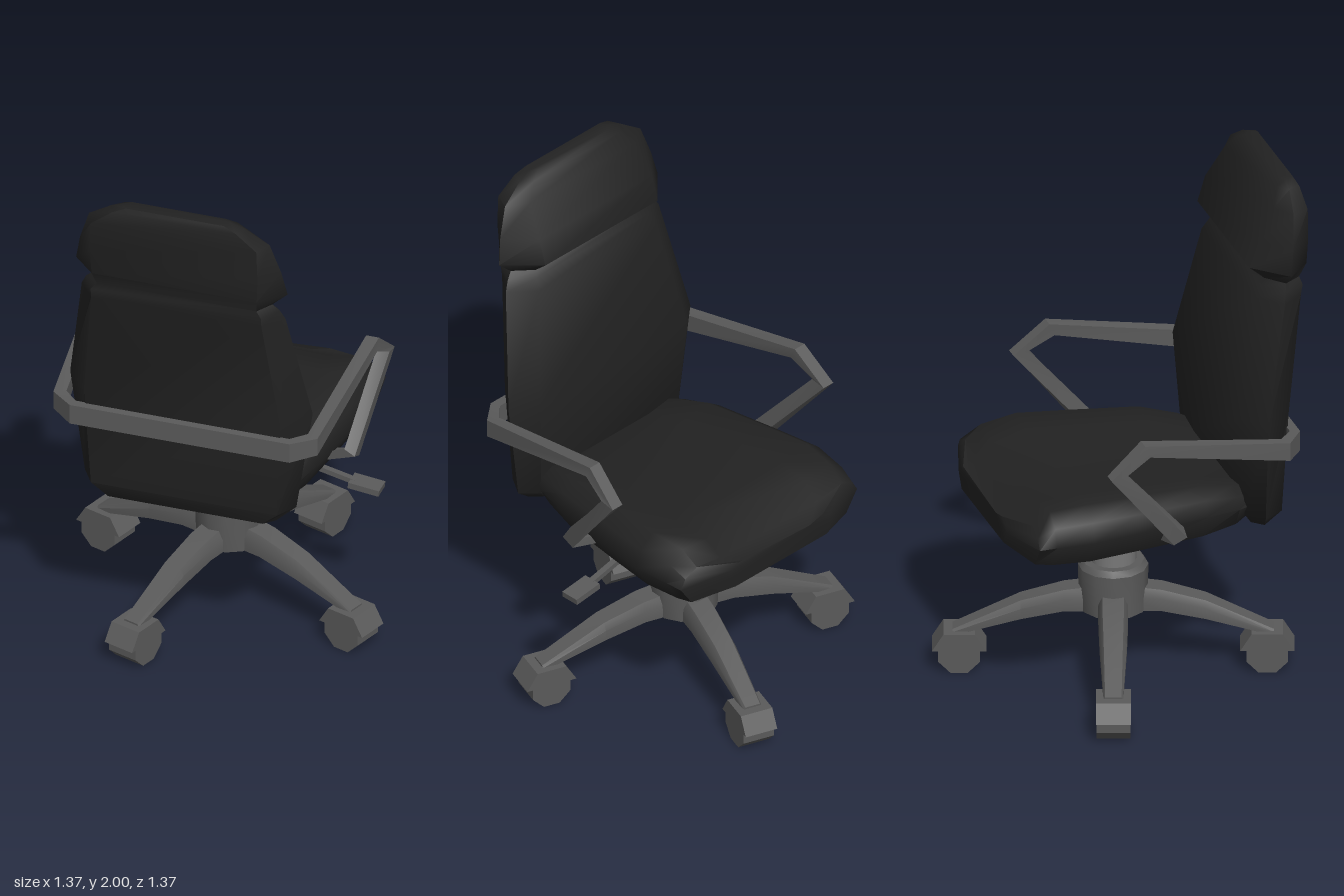
import * as THREE from 'three';
import { toCreasedNormals } from 'three/addons/utils/BufferGeometryUtils.js';

const fabric = new THREE.MeshStandardMaterial({ name: 'blackUpholstery', color: 0x222222 });
const plastic = new THREE.MeshStandardMaterial({ name: 'darkGreyPlastic', color: 0x5a5a5a });
const metal = new THREE.MeshStandardMaterial({ name: 'greyMetal', color: 0x787878 });

// Skin a list of equal-sized rings; a looped skin has no end caps.
function loft(rings, crease, looped = false) {
  const n = rings[0].length, m = rings.length, index = [];
  const pts = rings.flat();
  for (let i = 0; i < (looped ? m : m - 1); i++) {
    const a = i * n, b = ((i + 1) % m) * n;
    for (let j = 0; j < n; j++) {
      const k = (j + 1) % n;
      index.push(a + j, b + j, b + k, a + j, b + k, a + k);
    }
  }
  if (!looped) {
    const e = (m - 1) * n;
    for (let j = 1; j < n - 1; j++) index.push(0, j, j + 1, e, e + j + 1, e + j);
  }
  // Signed volume tells whether the faces point inward.
  const v = pts.map((p) => new THREE.Vector3(...p));
  let volume = 0;
  for (let i = 0; i < index.length; i += 3) {
    volume += v[index[i]].dot(v[index[i + 1]].clone().cross(v[index[i + 2]]));
  }
  if (volume < 0) index.reverse();
  const geo = new THREE.BufferGeometry();
  geo.setAttribute('position', new THREE.Float32BufferAttribute(pts.flat(), 3));
  geo.setIndex(index);
  return toCreasedNormals(geo, crease);
}

function part(name, geometry, material, x = 0, y = 0, z = 0) {
  const mesh = new THREE.Mesh(geometry, material);
  mesh.name = name;
  mesh.position.set(x, y, z);
  return mesh;
}

// Four-cornered ring around a point, from two half-width vectors.
function quad(p, a, b) {
  return [[1, 1], [-1, 1], [-1, -1], [1, -1]].map(([s, t]) => p.map((c, i) => c + s * a[i] + t * b[i]));
}

function seat() {
  // z, half width, bolster top, widest height, bottom
  const stations = [
    [-0.45, 0.33, 0.80, 0.75, 0.71], [-0.36, 0.38, 0.83, 0.76, 0.68],
    [-0.22, 0.42, 0.865, 0.77, 0.67], [0.05, 0.46, 0.88, 0.77, 0.67],
    [0.24, 0.484, 0.89, 0.77, 0.67], [0.38, 0.465, 0.875, 0.765, 0.67],
    [0.445, 0.455, 0.825, 0.76, 0.68], [0.508, 0.265, 0.80, 0.755, 0.70],
  ];
  const rings = stations.map(([z, w, top, mid, low]) => {
    const half = [[0.55 * w, top - 0.018], [0.82 * w, top], [0.95 * w, mid + 0.6 * (top - mid)], [w, mid], [0.88 * w, low]];
    const mirrored = half.map(([x, y]) => [-x, y]).reverse();
    return [...half, ...mirrored].map(([x, y]) => [x, y, z]);
  });
  return part('seat', loft(rings, 0.9), fabric);
}

function backrest() {
  // y, front half width, front z, side half width, side z, rear half width, rear z
  const stations = [
    [0.66, 0.30, -0.43, 0.34, -0.47, 0.30, -0.51], [0.72, 0.35, -0.39, 0.41, -0.45, 0.36, -0.53],
    [1.13, 0.38, -0.365, 0.47, -0.44, 0.38, -0.55], [1.58, 0.30, -0.45, 0.395, -0.53, 0.33, -0.615],
    [1.62, 0.29, -0.475, 0.375, -0.54, 0.33, -0.622], [1.645, 0.28, -0.49, 0.35, -0.55, 0.31, -0.615],
    [1.70, 0.29, -0.43, 0.41, -0.55, 0.32, -0.64], [1.80, 0.29, -0.46, 0.39, -0.565, 0.325, -0.645],
    [1.92, 0.27, -0.53, 0.35, -0.58, 0.32, -0.645], [1.98, 0.22, -0.56, 0.26, -0.595, 0.24, -0.64],
    [2.00, 0.18, -0.58, 0.21, -0.60, 0.19, -0.63],
  ];
  const rings = stations.map(([y, f, fz, s, sz, r, rz]) =>
    [[f, fz], [s, sz], [r, rz], [-r, rz], [-s, sz], [-f, fz]].map(([x, z]) => [x, y, z]));
  return part('backrest', loft(rings, 0.9), fabric);
}

// One loop: strut under the seat, uprights, rails and the bar behind the back.
function armFrame() {
  const side = [
    [[0.27, 0.685, -0.06], [0, 0, 0.035], [0, 0.016, 0]],
    [[0.50, 0.755, -0.08], [0, -0.012, 0.026], [-0.02, 0.012, 0]],
    [[0.545, 1.065, 0.175], [0, -0.006, 0.03], [-0.025, 0, 0]],
    [[0.53, 1.15, 0.06], [0, 0.024, 0.01], [-0.025, 0, 0]],
    [[0.49, 1.035, -0.50], [0, 0.036, 0], [-0.022, 0, 0.01]],
    [[0.42, 1.03, -0.56], [0, 0.04, 0], [-0.006, 0, 0.018]],
  ];
  const flip = ([x, y, z]) => [-x, y, z];
  const path = [
    ...side,
    ...side.map((s) => s.map(flip)).reverse(),
  ];
  return part('armFrame', loft(path.map((s) => quad(...s)), 0.5, true), plastic);
}

function lever() {
  const group = new THREE.Group();
  group.name = 'heightLever';
  const rod = [[-0.05, 0.62], [-0.34, 0.615], [-0.49, 0.58]]
    .map(([x, y]) => quad([x, y, 0], [0, 0.01, 0], [0, 0, 0.012]));
  const paddle = part('leverPaddle', new THREE.BoxGeometry(0.12, 0.024, 0.075), plastic, -0.53, 0.573, 0);
  paddle.rotation.z = 0.12;
  group.add(part('leverRod', loft(rod, 0.5), plastic), paddle);
  return group;
}

// Leg pointing along +z with its caster at the end.
function leg() {
  const group = new THREE.Group();
  group.name = 'baseLeg';
  // distance, bottom, top, half width below, half width above
  const rings = [
    [0.06, 0.25, 0.345, 0.055, 0.04], [0.18, 0.25, 0.33, 0.055, 0.04],
    [0.34, 0.215, 0.285, 0.05, 0.036], [0.59, 0.14, 0.165, 0.036, 0.03],
  ].map(([z, low, top, w, t]) => [[w, low, z], [w, low + 0.6 * (top - low), z], [t, top, z],
    [-t, top, z], [-w, low + 0.6 * (top - low), z], [-w, low, z]]);
  group.add(part('legArm', loft(rings, 0.5), plastic));

  const wheel = toCreasedNormals(new THREE.CylinderGeometry(0.083, 0.083, 0.125, 8).rotateX(0).rotateY(Math.PI / 8).rotateZ(Math.PI / 2), 0.3);
  group.add(part('casterWheel', wheel, plastic, 0, 0.0775, 0.566));
  const hood = [-0.064, 0.064].map((x) =>
    [[0.1, 0.09], [0.058, 0.158], [-0.058, 0.158], [-0.1, 0.09]].map(([z, y]) => [x, y, 0.566 + z]));
  group.add(part('casterHood', loft(hood, 0.3), plastic));
  return group;
}

export function createModel() {
  const model = new THREE.Group();
  model.name = 'officeChair';
  model.position.set(0.04, 0, -0.04);

  // Swivelling upper part
  const upper = new THREE.Group();
  upper.name = 'upperChair';
  upper.rotation.y = THREE.MathUtils.degToRad(130);
  upper.add(seat(), backrest(), armFrame(), lever());
  upper.add(part('seatPlate', new THREE.BoxGeometry(0.3, 0.03, 0.26), plastic, 0, 0.672, 0));

  // Fixed base: column, hub and four legs
  const base = new THREE.Group();
  base.name = 'base';
  base.rotation.y = THREE.MathUtils.degToRad(110.7);
  base.add(part('column', toCreasedNormals(new THREE.CylinderGeometry(0.085, 0.085, 0.26, 16), 0.6), metal, 0, 0.55, 0));
  const hubProfile = [[0, 0.25], [0.125, 0.25], [0.13, 0.42], [0.115, 0.442], [0, 0.442]].map((p) => new THREE.Vector2(...p));
  base.add(part('hub', toCreasedNormals(new THREE.LatheGeometry(hubProfile, 12), 0.6), plastic));
  for (let i = 0; i < 4; i++) {
    const l = leg();
    l.rotation.y = (i * Math.PI) / 2;
    base.add(l);
  }

  const root = new THREE.Group();
  root.name = 'chair';
  model.add(upper, base);
  root.add(model);
  return root;
}
